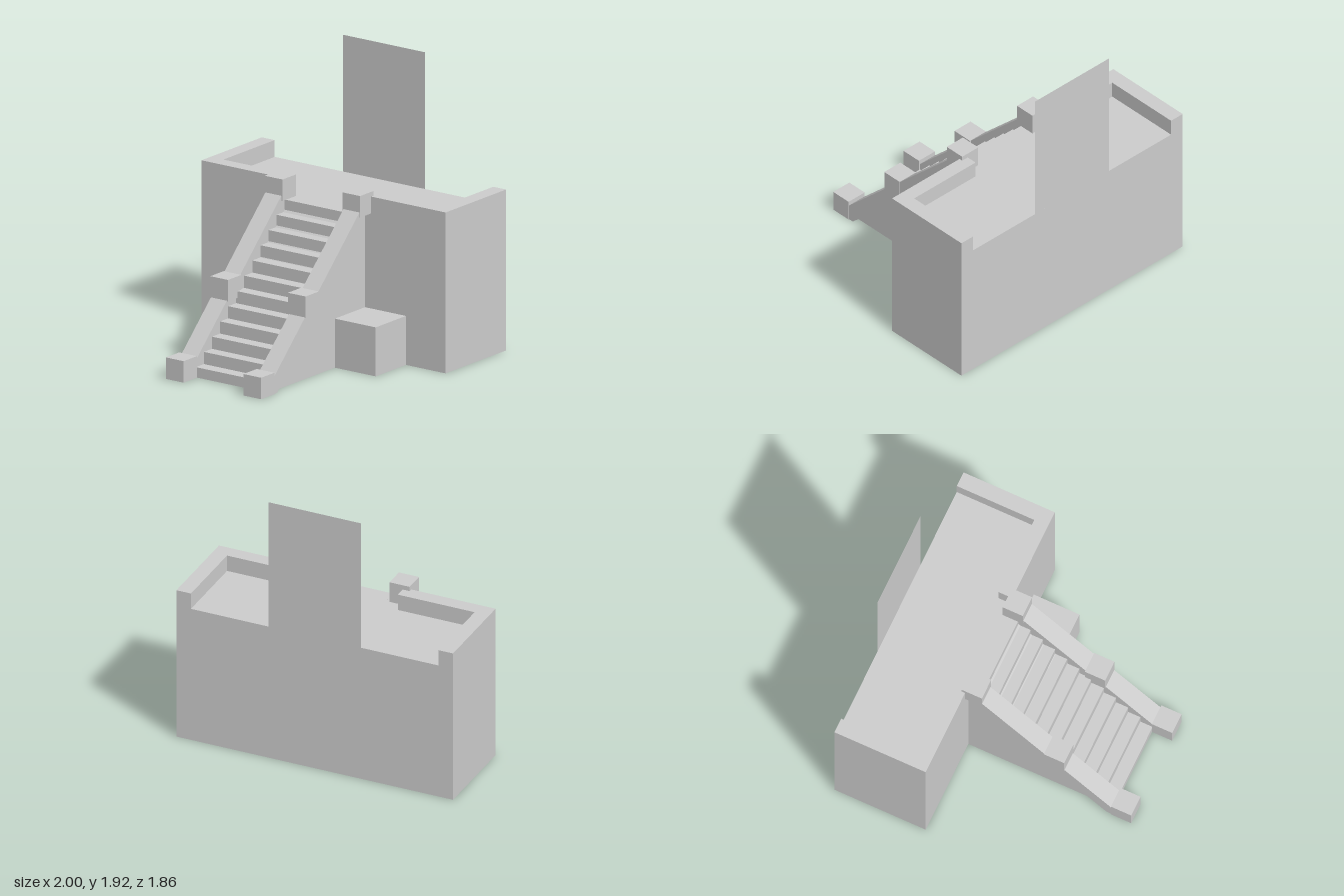
import * as THREE from 'three';

const FLOOR = 0.985, WALL_TOP = 1.1, BACK = -0.93, FRONT = -0.27;

export function createModel() {
  const model = new THREE.Group();
  const material = new THREE.MeshStandardMaterial({ color: 0xcccccc, flatShading: true });

  function add(name, geometry, mat = material) {
    const mesh = new THREE.Mesh(geometry, mat);
    mesh.name = name;
    model.add(mesh);
    return mesh;
  }

  // Box given by its limits on each axis
  function box(name, [x0, x1], [y0, y1], [z0, z1]) {
    const g = new THREE.BoxGeometry(x1 - x0, y1 - y0, z1 - z0);
    g.translate((x0 + x1) / 2, (y0 + y1) / 2, (z0 + z1) / 2);
    return add(name, g);
  }

  // Side profile of [z, y] points, extruded across x
  function profile(name, points, x0, x1) {
    const shape = new THREE.Shape(points.map(([z, y]) => new THREE.Vector2(z, y)));
    const g = new THREE.ExtrudeGeometry(shape, { depth: x1 - x0, bevelEnabled: false });
    g.rotateY(-Math.PI / 2).translate(x1, 0, 0);
    return add(name, g);
  }

  // Raised platform and the tall thin panel on its back edge
  box('platform', [-1, 1], [0, FLOOR], [BACK, FRONT]);
  const panel = add('backPanel', new THREE.PlaneGeometry(0.67, 1.92 - FLOOR),
    new THREE.MeshStandardMaterial({ color: 0xcccccc, side: THREE.DoubleSide }));
  panel.position.set(0, (1.92 + FLOOR) / 2, BACK);

  // Solid sloped base under the stairs
  profile('stairBase', [[FRONT, 0], [0.75, 0], [-0.2, 0.93], [-0.2, FLOOR], [FRONT, FLOOR]], -0.34, 0.34);

  // Twelve steps, the last one level with the platform
  const steps = 12, run = 0.97 / 11, firstRise = 0.07, rise = (FLOOR - firstRise) / 11;
  const stairs = [[0.75, 0], [0.785, 0]];
  for (let i = 0; i < steps; i++) {
    const y = firstRise + i * rise, z = 0.785 - i * run;
    stairs.push([z, y], [i < steps - 1 ? z - run : FRONT, y]);
  }
  stairs.push([FRONT, 0.93], [-0.2, 0.93]);
  profile('steps', stairs, -0.255, 0.255);

  // Parapets, sloped rails and cube posts on both sides
  const posts = [[0.785, 0], [0.3, 0.44], [-0.295, FLOOR]];
  for (const s of [-1, 1]) {
    const span = (a, b) => (s > 0 ? [a, b] : [-b, -a]);
    const side = s > 0 ? 'left' : 'right';
    box(side + 'SideParapet', span(0.895, 1), [FLOOR, WALL_TOP], [BACK, FRONT]);
    box(side + 'FrontParapet', span(0.34, 0.895), [FLOOR, WALL_TOP], [-0.37, FRONT]);
    profile(side + 'Rail',
      [[0.75, 0], [0.79, 0], [0.79, 0.11], [-0.15, 1.02], [-0.2, 1.07], [-0.2, 0.93]],
      ...span(0.255, 0.385));
    for (const [z, y] of posts) box(side + 'Post', span(0.245, 0.39), [y, y + 0.147], [z, z + 0.146]);
  }

  // Low block in the corner beside the stairs
  box('cornerBlock', [0.34, 0.675], [0, 0.335], [FRONT, 0.06]);

  return model;
}
